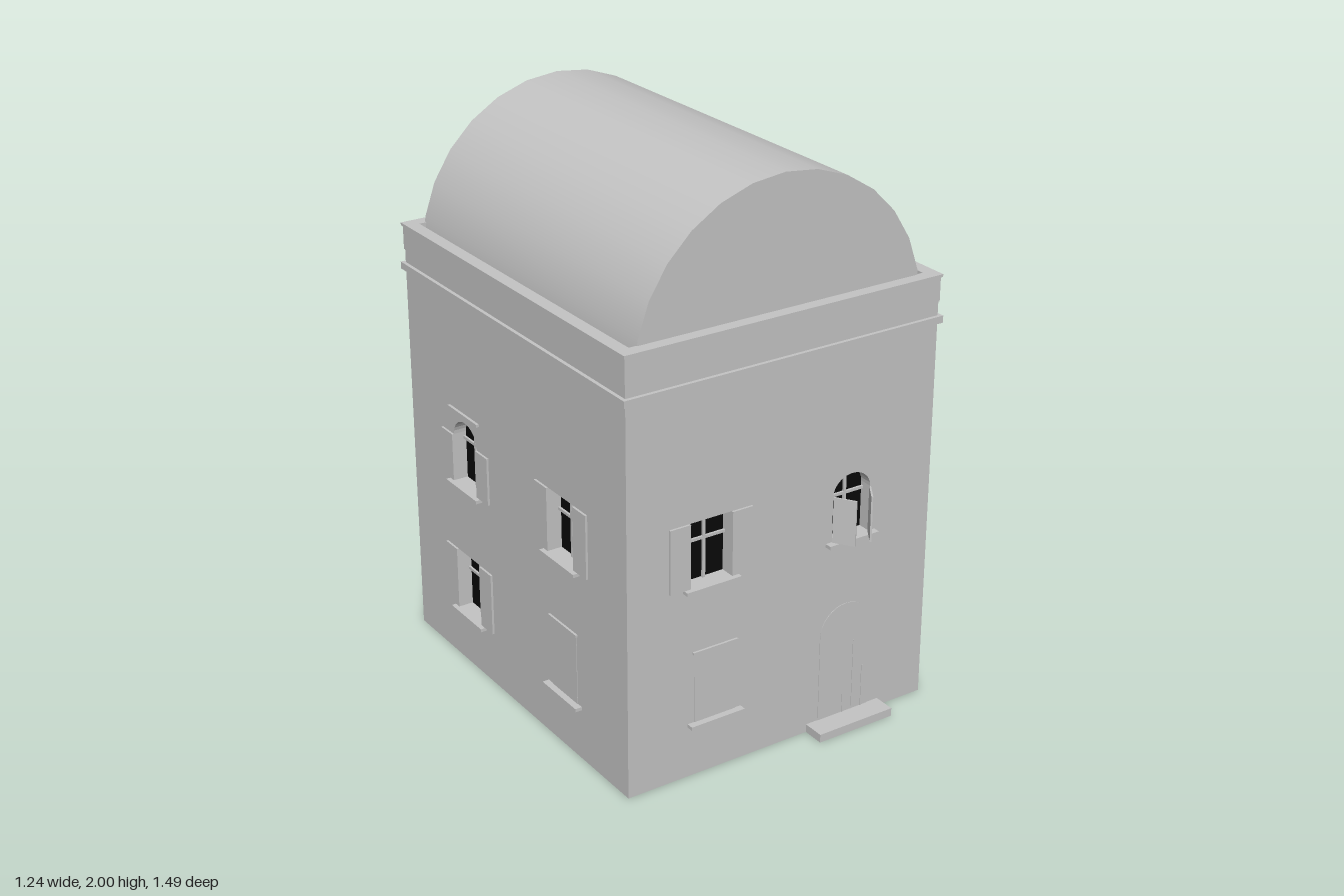
import * as THREE from 'three';

export function createModel() {
  const model = new THREE.Group();
  model.name = 'house';
  const plaster = new THREE.MeshStandardMaterial({ color: 0xc4c4c4 });
  plaster.name = 'plaster grey';
  const dark = new THREE.MeshStandardMaterial({ color: 0x080808 });
  dark.name = 'window black';

  const CX = 0.0025, CZ = -0.0325, W = 1.205, D = 1.395, TOP = 1.46, RECESS = 0.05;

  function add(parent, name, geometry, material = plaster) {
    const mesh = new THREE.Mesh(geometry, material);
    mesh.name = name;
    parent.add(mesh);
    return mesh;
  }
  // box given by its lower and upper corners
  function block(parent, name, x0, x1, y0, y1, z0, z1, material) {
    const mesh = add(parent, name, new THREE.BoxGeometry(x1 - x0, y1 - y0, z1 - z0), material);
    mesh.position.set((x0 + x1) / 2, (y0 + y1) / 2, (z0 + z1) / 2);
    return mesh;
  }
  // rectangle outline, with an arched top when spring is below y1
  function outline(Type, { x0, x1, y0, y1, spring = y1 }) {
    const s = new Type();
    s.moveTo(x0, y0);
    s.lineTo(x1, y0);
    s.lineTo(x1, spring);
    if (spring < y1) {
      s.absellipse((x0 + x1) / 2, spring, (x1 - x0) / 2, y1 - spring, 0, Math.PI, false, 0);
    } else {
      s.lineTo(x0, y1);
    }
    s.closePath();
    return s;
  }
  function slab(parent, name, spec, z0, depth, material) {
    const g = new THREE.ExtrudeGeometry(outline(THREE.Shape, spec), { depth, bevelEnabled: false, curveSegments: 8 });
    return add(parent, name, g, material).position.z = z0;
  }

  // hollow rectangular band around the house
  function ring(name, y, height, out, thickness) {
    const rect = (T, g) => outline(T, { x0: -W / 2 - g, x1: W / 2 + g, y0: -D / 2 - g, y1: D / 2 + g });
    const s = rect(THREE.Shape, out);
    s.holes.push(rect(THREE.Path, out - thickness));
    const g = new THREE.ExtrudeGeometry(s, { depth: height, bevelEnabled: false });
    g.rotateX(-Math.PI / 2);
    add(model, name, g).position.set(CX, y, CZ);
  }

  // wall panel pierced by window openings
  function wall(parent, u0, u1, openings) {
    const s = outline(THREE.Shape, { x0: u0, x1: u1, y0: 0, y1: TOP });
    openings.forEach(o => s.holes.push(outline(THREE.Path, o)));
    const g = new THREE.ExtrudeGeometry(s, { depth: RECESS, bevelEnabled: false, curveSegments: 8 });
    add(parent, 'wall', g).position.z = -RECESS;
  }
  function sill(parent, u0, u1, y) {
    block(parent, 'sill', u0, u1, y - 0.012, y, -0.01, 0.025);
  }
  function glazing(parent, o) {
    const mid = (o.x0 + o.x1) / 2, bar = 0.005;
    slab(parent, 'pane', o, -RECESS, 0.003, dark);
    const barY = o.y0 + (o.y1 - o.y0) * 0.63;
    block(parent, 'mullion', mid - bar, mid + bar, o.y0, o.y1 - 0.002, -0.044, -0.036);
    block(parent, 'crossbar', o.x0, o.x1, barY - bar, barY + bar, -0.044, -0.036);
    sill(parent, o.x0 - 0.025, o.x1 + 0.025, o.y0);
  }
  // shutters folded back flat against the wall
  function flatShutters(parent, o) {
    const top = o.spring ?? o.y1, w = 0.078;
    block(parent, 'shutter', o.x0 - w, o.x0, o.y0, top, 0, 0.008);
    block(parent, 'shutter', o.x1, o.x1 + w, o.y0, top, 0, 0.008);
  }
  // walled-up window with sill and lintel
  function blindWindow(parent, c) {
    block(parent, 'blindWindow', c - 0.08, c + 0.08, 0.2, 0.455, 0, 0.002);
    sill(parent, c - 0.105, c + 0.105, 0.2);
    block(parent, 'lintel', c - 0.087, c + 0.087, 0.455, 0.463, 0, 0.008);
  }

  // inner body behind the pierced walls
  block(model, 'body', -0.6 + RECESS, 0.605, 0, TOP, -0.73, 0.665 - RECESS);

  // front facade
  const front = new THREE.Group();
  front.name = 'frontFacade';
  front.position.z = 0.665;
  model.add(front);
  const square = { x0: -0.365, x1: -0.205, y0: 0.7, y1: 0.928 };
  const arched = { x0: 0.2, x1: 0.352, y0: 0.7, y1: 0.932, spring: 0.865 };
  wall(front, -0.6, 0.605, [square, arched]);
  [square, arched].forEach(o => glazing(front, o));
  flatShutters(front, square);
  blindWindow(front, -0.265);
  // half-open shutters of the small arched window
  for (const side of [-1, 1]) {
    const leaf = block(front, 'openShutter', -0.003, 0.003, 0.7, 0.865, 0, 0.08);
    leaf.position.x = 0.276 + side * 0.053;
    leaf.position.z = 0.035;
    leaf.rotation.y = -side * 0.58;
  }
  // door with plank joints and step
  slab(front, 'door', { x0: 0.163, x1: 0.373, y0: 0.03, y1: 0.452, spring: 0.35 }, 0, 0.002);
  [[0.265, 0.1], [0.305, 0.3], [0.345, 0.19]].forEach(([x, top]) =>
    block(front, 'plankJoint', x - 0.002, x + 0.002, 0.03, top, 0, 0.004));
  block(front, 'doorStep', 0.115, 0.42, 0, 0.03, -0.01, 0.08);

  // side facade; its local x runs along the depth of the house
  const side = new THREE.Group();
  side.name = 'sideFacade';
  side.position.x = -0.6;
  side.rotation.y = -Math.PI / 2;
  model.add(side);
  const nearTop = { x0: -0.43, x1: -0.27, y0: 0.7, y1: 0.945, spring: 0.875 };
  const nearLow = { x0: -0.43, x1: -0.27, y0: 0.2, y1: 0.43 };
  const farTop = { x0: 0.2, x1: 0.36, y0: 0.7, y1: 0.928 };
  const openings = [nearTop, nearLow, farTop];
  wall(side, -0.73, 0.665 - RECESS, openings);
  openings.forEach(o => { glazing(side, o); flatShutters(side, o); });
  block(side, 'hood', -0.45, -0.25, 0.97, 0.98, 0, 0.01);
  blindWindow(side, 0.28);

  // cornice, parapet and its coping
  ring('cornice', 1.387, 0.025, 0.013, 0.05);
  ring('parapet', TOP, 0.085, 0.003, 0.04);
  ring('coping', 1.545, 0.01, 0.008, 0.047);

  // barrel vault roof
  const vault = new THREE.CylinderGeometry(0.55, 0.55, 1.33, 14, 1, false, Math.PI / 2, Math.PI);
  vault.rotateX(Math.PI / 2);
  add(model, 'barrelRoof', vault).position.set(0.004, 1.45, -0.035);

  return model;
}
